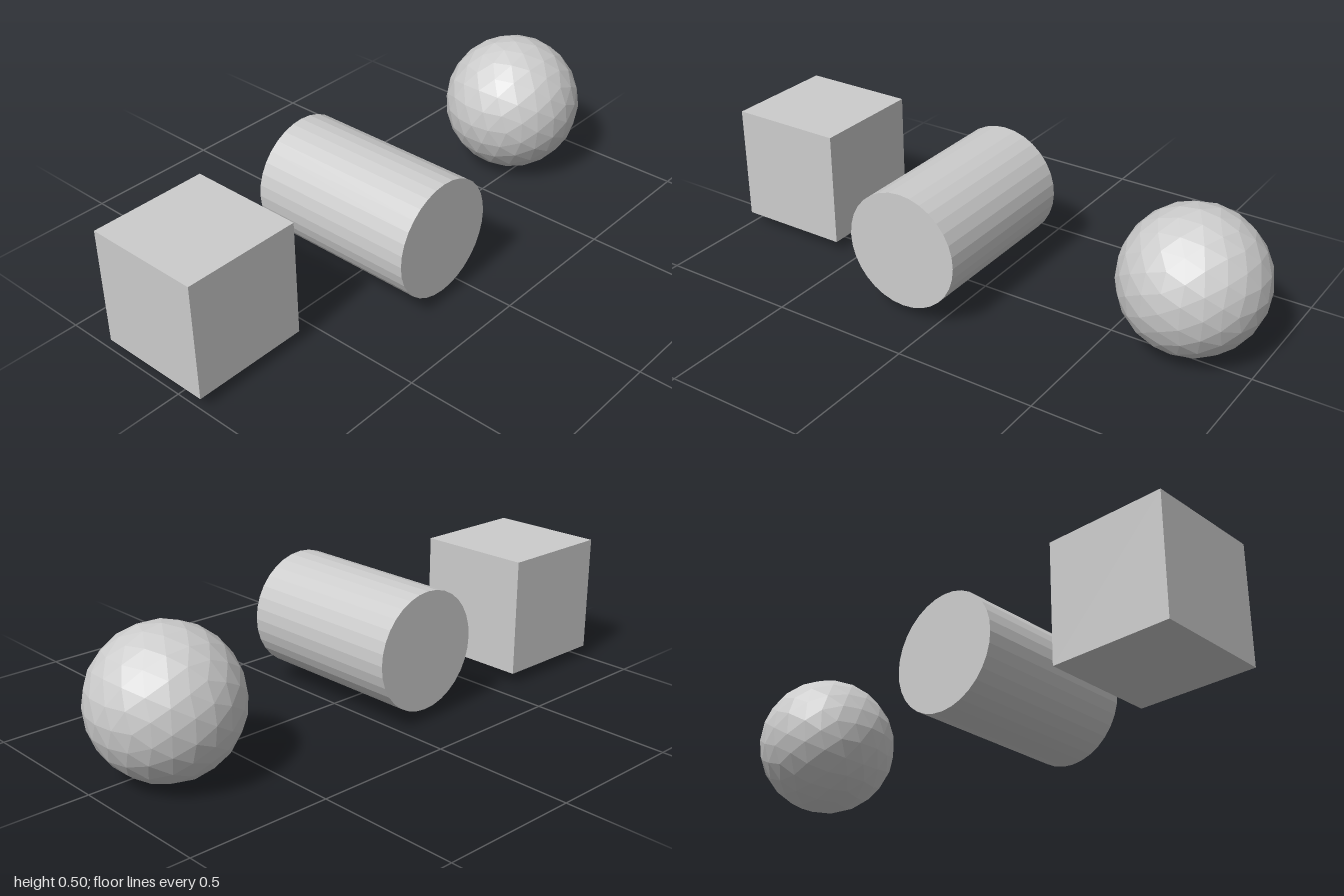
import * as THREE from 'three';

// Icosphere: each pass splits every triangle in four and pushes the new corners onto the sphere
function icosphere(radius, passes) {
  const source = new THREE.IcosahedronGeometry(1, 0).getAttribute('position');
  let points = [];
  for (let i = 0; i < source.count; i++) {
    points.push(new THREE.Vector3().fromBufferAttribute(source, i));
  }
  const middle = (p, q) => p.clone().add(q).normalize();
  for (let pass = 0; pass < passes; pass++) {
    const next = [];
    for (let i = 0; i < points.length; i += 3) {
      const [a, b, c] = points.slice(i, i + 3);
      const ab = middle(a, b), bc = middle(b, c), ca = middle(c, a);
      next.push(a, ab, ca, ab, b, bc, ca, bc, c, ab, bc, ca);
    }
    points = next;
  }
  const geometry = new THREE.BufferGeometry().setFromPoints(points);
  geometry.scale(radius, radius, radius);
  geometry.computeVertexNormals();
  return geometry;
}

export function createModel() {
  const model = new THREE.Group();
  const grey = new THREE.MeshStandardMaterial({ color: 0xcccccc, flatShading: true });
  grey.name = 'light grey';

  const add = (name, geometry, x, y, z) => {
    const mesh = new THREE.Mesh(geometry, grey);
    mesh.name = name;
    mesh.position.set(x, y, z);
    model.add(mesh);
  };

  const size = 0.4167;
  const back = -0.3125; // all three solids line up at the back

  // Cube on the right
  add('cube', new THREE.BoxGeometry(size, size, size), -1 + size / 2, 0.25, back + size / 2);

  // Cylinder lying front to back
  const cylinder = new THREE.CylinderGeometry(size / 2, size / 2, 0.625, 32);
  cylinder.rotateX(Math.PI / 2);
  add('cylinder', cylinder, -0.125, 0.25, 0);

  // Faceted ball on the left
  add('sphere', icosphere(0.25, 2), 0.75, 0.25, back + 0.25);

  return model;
}
